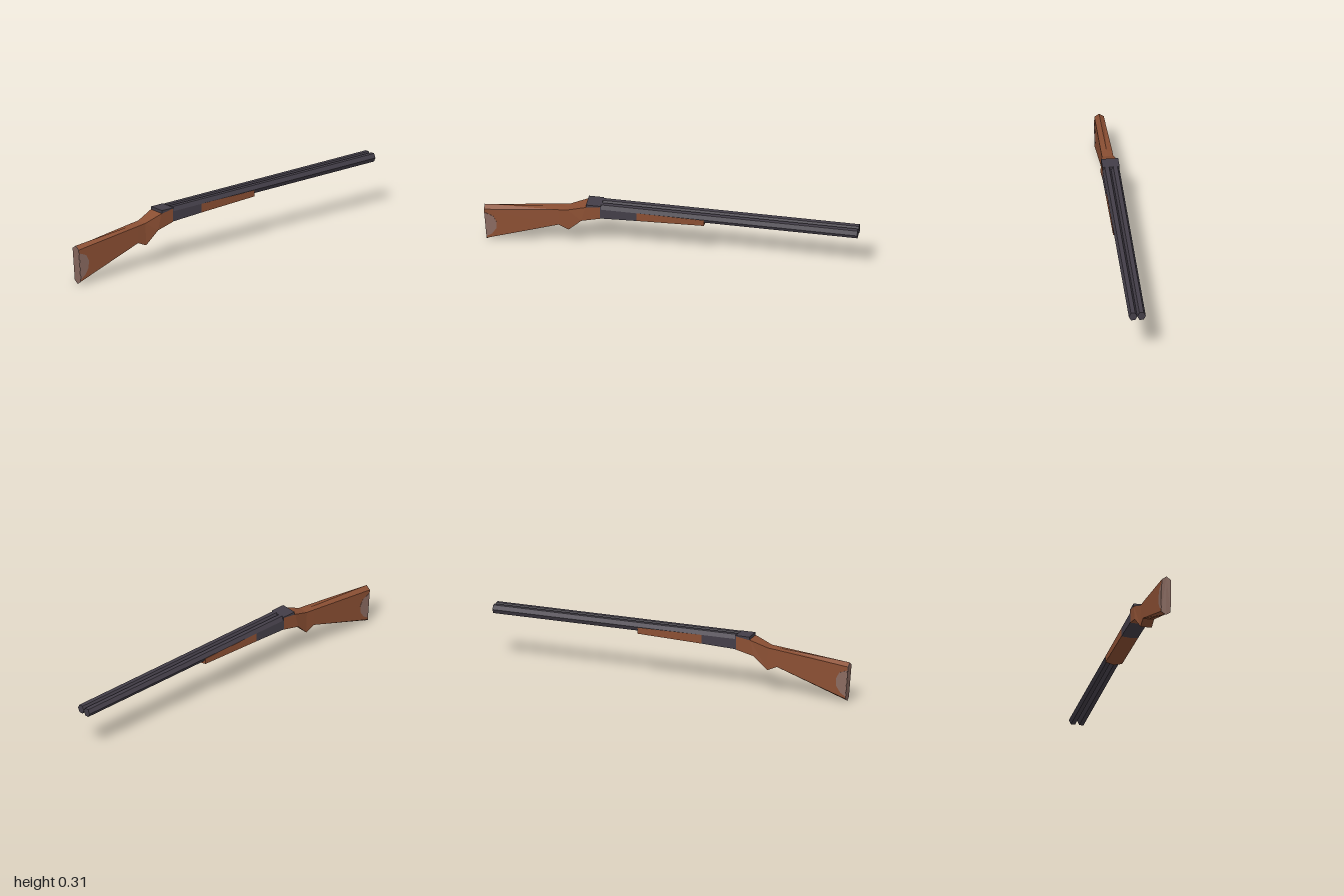
import * as THREE from 'three';

const flat = (name, color) => {
  const m = new THREE.MeshStandardMaterial({ color });
  m.name = name;
  m.flatShading = true;
  return m;
};

// Six-sided cross-section with a ridge along the top and the bottom
function section(topX, topY, botX, botY, half, topRidge = 0, botRidge = 0) {
  const hi = topY - topRidge, lo = botY + botRidge;
  return [
    [topX, topY, 0], [topX, hi, half], [botX, lo, half],
    [botX, botY, 0], [botX, lo, -half], [topX, hi, -half],
  ];
}

// Skin sections that run towards +x, closed at both ends
function loft(sections) {
  const pos = [], n = 6;
  const tri = (a, b, c) => pos.push(...a, ...b, ...c);
  for (let i = 0; i < sections.length - 1; i++) {
    const p = sections[i], q = sections[i + 1];
    for (let j = 0; j < n; j++) {
      const k = (j + 1) % n;
      tri(p[j], p[k], q[k]);
      tri(p[j], q[k], q[j]);
    }
  }
  const first = sections[0], last = sections[sections.length - 1];
  for (let j = 1; j < n - 1; j++) {
    tri(first[0], first[j + 1], first[j]);
    tri(last[0], last[j], last[j + 1]);
  }
  const g = new THREE.BufferGeometry();
  g.setAttribute('position', new THREE.Float32BufferAttribute(pos, 3));
  g.computeVertexNormals();
  return g;
}

// Side outline extruded evenly across z
function slab(points, half) {
  const shape = new THREE.Shape(points.map(([x, y]) => new THREE.Vector2(x, y)));
  return new THREE.ExtrudeGeometry(shape, { depth: half * 2, bevelEnabled: false }).translate(0, 0, -half);
}

export function createModel() {
  const wood = flat('wood', 0x8b4f33);
  const metal = flat('gunmetal', 0x433e48);
  const pad = flat('buttPad', 0x8a6a60);
  const group = new THREE.Group();
  const add = (name, geometry, material) => {
    const mesh = new THREE.Mesh(geometry, material);
    mesh.name = name;
    group.add(mesh);
    return mesh;
  };

  // Stock, from butt through grip to the receiver
  add('stock', loft([
    section(-0.997, 0.215, -0.982, 0.003, 0.025, 0.018, 0.016),
    section(-0.60, 0.247, -0.60, 0.15, 0.03, 0.002, 0.001),
    section(-0.55, 0.25, -0.545, 0.127, 0.03),
    section(-0.455, 0.286, -0.475, 0.20, 0.045),
    section(-0.375, 0.301, -0.375, 0.225, 0.045),
  ]), wood);

  // Butt plate and the rounded inlay on both sides
  add('buttPlate', loft([
    section(-1.0, 0.215, -0.985, 0, 0.025, 0.018, 0.016),
    section(-0.997, 0.215, -0.982, 0.003, 0.025, 0.018, 0.016),
  ]), pad);
  add('buttInlay', slab([
    [-0.996, 0.178], [-0.985, 0.03], [-0.955, 0.05], [-0.933, 0.085],
    [-0.931, 0.125], [-0.95, 0.16],
  ], 0.0265), pad);

  // Receiver and fore-end share one tapering underside
  const rear = section(-0.372, 0.283, -0.372, 0.227, 0.045);
  const joint = section(-0.18, 0.283, -0.18, 0.231, 0.045, 0, 0.004);
  add('receiver', loft([rear, joint]), metal);
  add('foreEnd', loft([joint, section(0.18, 0.28, 0.18, 0.236, 0.045, 0, 0.011)]), wood);

  // Breech face and wedge on top of the grip
  add('breechFace', slab([[-0.376, 0.226], [-0.37, 0.226], [-0.37, 0.303], [-0.376, 0.303]], 0.045), metal);
  add('breechTop', slab([[-0.45, 0.286], [-0.37, 0.299], [-0.37, 0.303], [-0.45, 0.303]], 0.0452), metal);

  // Twin six-sided barrels
  for (const side of [1, -1]) {
    const g = new THREE.CylinderGeometry(0.0225, 0.0225, 1.373, 6);
    g.rotateZ(Math.PI / 2).scale(1, 1.155, 1).translate(0.3135, 0.283, side * 0.0225);
    add(side > 0 ? 'leftBarrel' : 'rightBarrel', g, metal);
  }
  return group;
}
